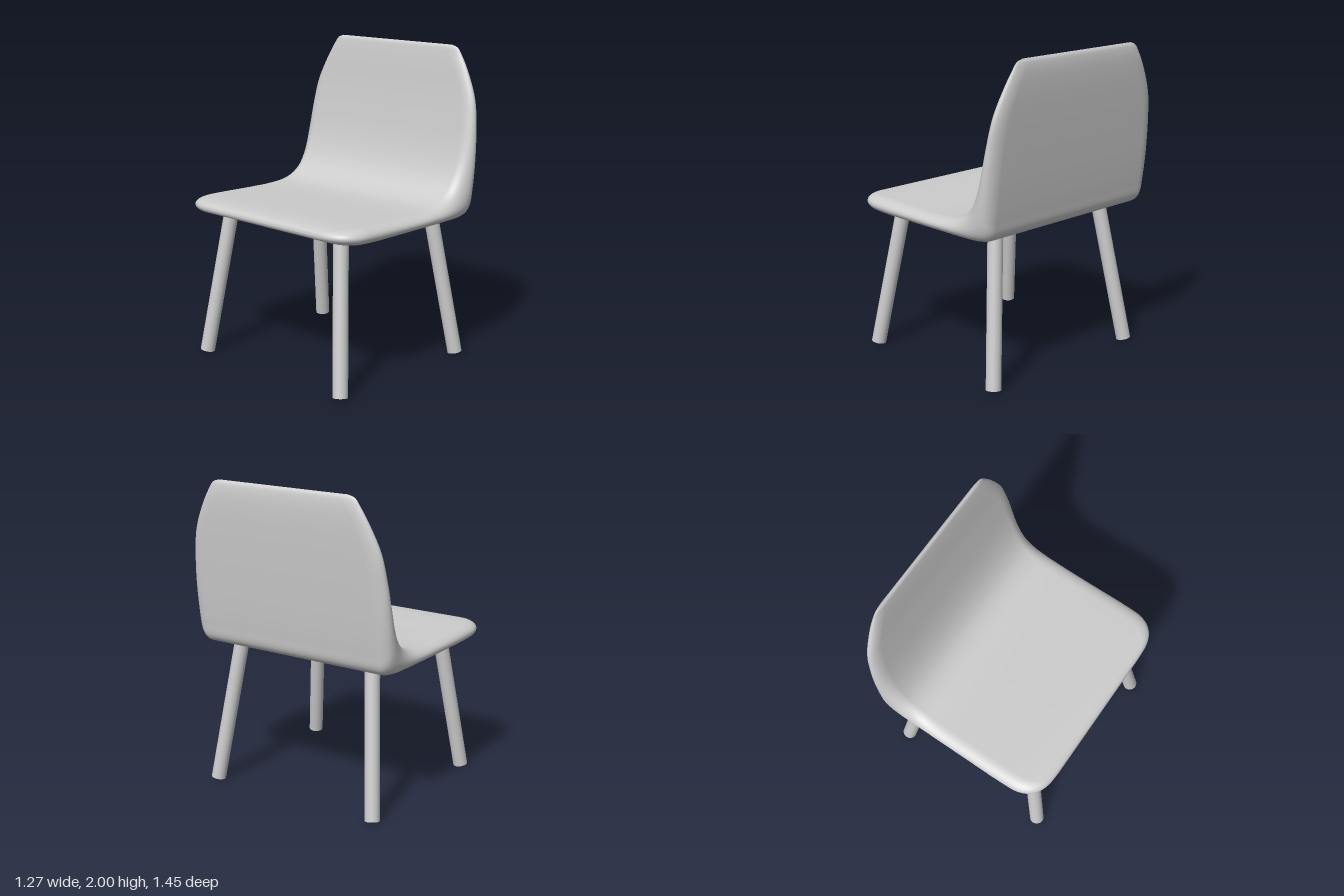
import * as THREE from 'three';
import { mergeVertices } from 'three/addons/utils/BufferGeometryUtils.js';

const material = new THREE.MeshStandardMaterial({ color: 0xcccccc });

// Shell stations from seat lip to top of backrest:
// [inner x, inner y, outer x, outer y, half width]
const stations = [
  [-0.638, 0.988, -0.638, 0.988, 0.46],
  [-0.63, 1.008, -0.63, 0.97, 0.56],
  [-0.605, 1.021, -0.605, 0.957, 0.63],
  [-0.56, 1.029, -0.56, 0.945, 0.68],
  [-0.49, 1.033, -0.49, 0.936, 0.71],
  [-0.38, 1.032, -0.38, 0.931, 0.718],
  [-0.1, 1.024, -0.1, 0.93, 0.718],
  [0.12, 1.023, 0.15, 0.93, 0.718],
  [0.23, 1.035, 0.34, 0.93, 0.719],
  [0.31, 1.065, 0.46, 0.934, 0.721],
  [0.37, 1.11, 0.525, 0.95, 0.722],
  [0.42, 1.18, 0.555, 0.985, 0.723],
  [0.46, 1.27, 0.57, 1.07, 0.722],
  [0.495, 1.39, 0.59, 1.25, 0.718],
  [0.525, 1.54, 0.607, 1.45, 0.705],
  [0.552, 1.7, 0.622, 1.65, 0.675],
  [0.573, 1.85, 0.632, 1.83, 0.605],
  [0.587, 1.94, 0.631, 1.93, 0.55],
  [0.597, 1.985, 0.623, 1.98, 0.515],
  [0.61, 2.0, 0.61, 2.0, 0.47],
];

function shellGeometry() {
  const curve = (f) => new THREE.CatmullRomCurve3(stations.map(f), false, 'centripetal');
  const inner = curve((s) => new THREE.Vector3(s[0], s[1], s[4]));
  const outer = curve((s) => new THREE.Vector3(s[2], s[3], s[4]));
  const rings = 114, arc = 14, flat = 8, edge = 0.09;

  // Cross-section loop: [side, angle] for rounded edges, straight runs between
  const loop = [];
  for (let k = 0; k <= arc; k++) {
    const a = -Math.PI / 2 + (Math.PI * k) / arc;
    loop.push({ z: 1, r: Math.cos(a), v: Math.sin(a) });
  }
  for (let k = 1; k < flat; k++) loop.push({ z: 1 - (2 * k) / flat, r: 0, v: 1 });
  for (let k = 0; k <= arc; k++) {
    const a = Math.PI / 2 - (Math.PI * k) / arc;
    loop.push({ z: -1, r: -Math.cos(a), v: Math.sin(a) });
  }
  for (let k = 1; k < flat; k++) loop.push({ z: -1 + (2 * k) / flat, r: 0, v: -1 });

  const n = loop.length, positions = [], index = [];
  for (let i = 0; i <= rings; i++) {
    const p = inner.getPoint(i / rings), q = outer.getPoint(i / rings);
    const w = (p.z + q.z) / 2;
    for (const { z, r, v } of loop) {
      const t = (v + 1) / 2;
      positions.push(q.x + (p.x - q.x) * t, q.y + (p.y - q.y) * t, z * (w - edge) + r * edge);
    }
  }
  for (let i = 0; i < rings; i++) {
    for (let j = 0; j < n; j++) {
      const a = i * n + j, b = i * n + ((j + 1) % n);
      index.push(a, a + n, b, b, a + n, b + n);
    }
  }
  const geometry = new THREE.BufferGeometry();
  geometry.setAttribute('position', new THREE.Float32BufferAttribute(positions, 3));
  geometry.setIndex(index);
  const merged = mergeVertices(geometry, 1e-4);
  merged.computeVertexNormals();
  return merged;
}

// Round leg between two points
function makeLeg(name, foot, top) {
  const a = new THREE.Vector3(...foot), b = new THREE.Vector3(...top);
  const axis = b.clone().sub(a);
  const leg = new THREE.Mesh(new THREE.CylinderGeometry(0.047, 0.047, axis.length(), 32), material);
  leg.position.copy(a).add(b).multiplyScalar(0.5);
  leg.quaternion.setFromUnitVectors(new THREE.Vector3(0, 1, 0), axis.normalize());
  leg.name = name;
  return leg;
}

export function createModel() {
  const chair = new THREE.Group();
  chair.name = 'chair';

  const shell = new THREE.Mesh(shellGeometry(), material);
  shell.name = 'seatShell';
  chair.add(shell);

  // Splayed legs, tops sunk into the seat
  chair.add(
    makeLeg('frontLegLeft', [-0.573, 0.011, 0.61], [-0.43, 0.97, 0.48]),
    makeLeg('frontLegRight', [-0.573, 0.011, -0.585], [-0.43, 0.97, -0.475]),
    makeLeg('backLegLeft', [0.52, 0.011, 0.615], [0.4, 0.97, 0.48]),
    makeLeg('backLegRight', [0.52, 0.011, -0.585], [0.36, 0.97, -0.475]),
  );
  return chair;
}
